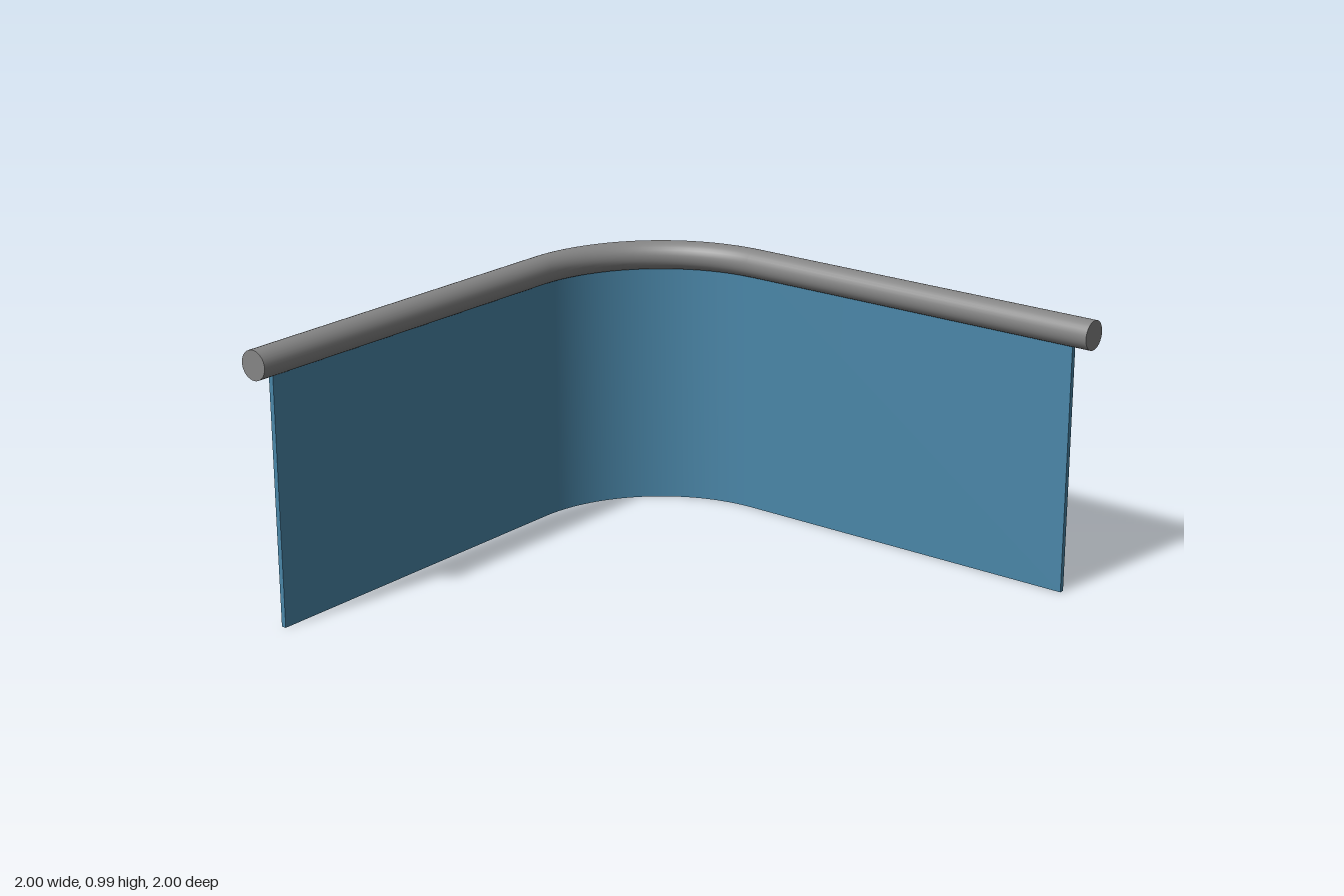
import * as THREE from 'three';
import { toCreasedNormals } from 'three/addons/utils/BufferGeometryUtils.js';

const RAIL_R = 0.052;   // handrail tube radius
const LINE = -0.948;    // centre line of both straight runs
const BEND = -0.4;      // centre of the corner bend, and start of the straights
const BEND_R = BEND - LINE;
const RAIL_Y = 0.935;
const PANEL_END = 0.926;
const HALF_T = 0.009;   // half the panel thickness

export function createModel() {
  const model = new THREE.Group();
  const railGrey = new THREE.MeshStandardMaterial({ color: 0x858585 });
  const panelBlue = new THREE.MeshStandardMaterial({ color: 0x4a86a8 });

  const add = (name, geometry, material, parent) => {
    const mesh = new THREE.Mesh(geometry, material);
    mesh.name = name;
    parent.add(mesh);
    return mesh;
  };

  // Handrail: two capped straight tubes joined by a quarter bend
  const handrail = new THREE.Group();
  handrail.name = 'handrail';
  handrail.position.y = RAIL_Y;
  model.add(handrail);

  const length = 1 - BEND;
  const middle = (1 + BEND) / 2;
  const straight = new THREE.CylinderGeometry(RAIL_R, RAIL_R, length, 32);
  const sideRail = add('sideRail', straight, railGrey, handrail);
  sideRail.rotation.x = Math.PI / 2;
  sideRail.position.set(LINE, 0, middle);
  const backRail = add('backRail', straight, railGrey, handrail);
  backRail.rotation.z = -Math.PI / 2;
  backRail.position.set(middle, 0, LINE);

  const bend = new THREE.TorusGeometry(BEND_R, RAIL_R, 32, 20, Math.PI / 2);
  bend.rotateZ(Math.PI / 2).rotateX(-Math.PI / 2);
  add('cornerRail', bend, railGrey, handrail).position.set(BEND, 0, BEND);

  // Panel: thin curved wall drawn in plan (shape y is -z) and extruded upwards
  const plan = new THREE.Shape();
  plan.moveTo(LINE - HALF_T, -PANEL_END);
  plan.lineTo(LINE - HALF_T, -BEND);
  plan.absarc(BEND, -BEND, BEND_R + HALF_T, Math.PI, Math.PI / 2, true);
  plan.lineTo(PANEL_END, -LINE + HALF_T);
  plan.lineTo(PANEL_END, -LINE - HALF_T);
  plan.lineTo(BEND, -LINE - HALF_T);
  plan.absarc(BEND, -BEND, BEND_R - HALF_T, Math.PI / 2, Math.PI, false);
  plan.lineTo(LINE + HALF_T, -PANEL_END);
  plan.closePath();
  const wall = new THREE.ExtrudeGeometry(plan, {
    depth: RAIL_Y, bevelEnabled: false, curveSegments: 20,
  });
  wall.rotateX(-Math.PI / 2);
  add('panel', toCreasedNormals(wall, 0.6), panelBlue, model);

  return model;
}
